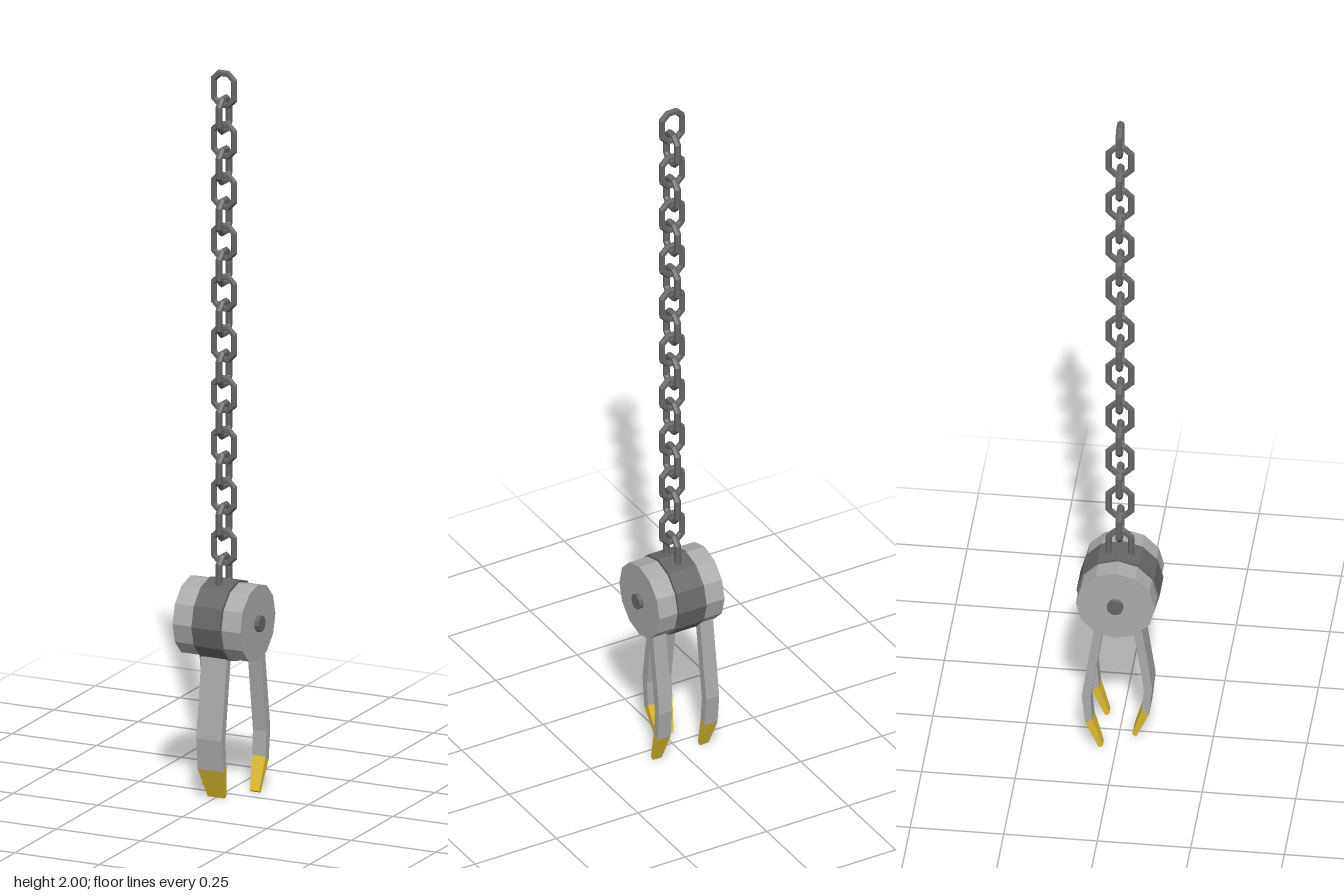
import * as THREE from 'three';

const mat = (color) => new THREE.MeshStandardMaterial({ color, flatShading: true });

export function createModel() {
  const root = new THREE.Group();
  const dark = mat(0x666666), steel = mat(0xaaaaaa), yellow = mat(0xe0c030);
  const add = (name, geometry, material, parent = root) => {
    const mesh = new THREE.Mesh(geometry, material);
    mesh.name = name;
    parent.add(mesh);
    return mesh;
  };

  // Chain: an eight-sided ring pulled apart vertically, every other link turned
  const link = new THREE.TorusGeometry(0.0325, 0.0095, 6, 8);
  link.rotateZ(Math.PI / 8);
  const lp = link.attributes.position;
  for (let i = 0; i < lp.count; i++) {
    lp.setY(i, lp.getY(i) + Math.sign(lp.getY(i)) * 0.0135);
  }
  const chain = new THREE.Group();
  chain.name = 'chain';
  root.add(chain);
  for (let i = 0; i < 20; i++) {
    const mesh = add('chainLink', link, dark, chain);
    mesh.position.y = 1.947 - i * 0.0703;
    mesh.rotation.y = (i % 2) * Math.PI / 2;
  }

  // Hub: centre drum, two side drums and the axle pin
  const drum = (name, radius, x0, x1, sides, material) => {
    const g = new THREE.CylinderGeometry(radius, radius, x1 - x0, sides);
    g.rotateZ(Math.PI / 2);
    add(name, g, material).position.set((x0 + x1) / 2, 0.482, 0);
  };
  drum('centreDrum', 0.111, -0.042, 0.042, 12, dark);
  drum('leftDrum', 0.106, 0.044, 0.1, 12, steel);
  drum('rightDrum', 0.106, -0.1, -0.044, 12, steel);
  drum('axlePin', 0.022, -0.112, 0.112, 10, dark);

  // Bar through rows, top to bottom: [outer z, outer y, inner z, inner y, width scale]
  const bar = (rows, width) => {
    const n = rows.length - 1;
    const g = new THREE.BoxGeometry(width, n, 1, 1, n, 1);
    const p = g.attributes.position;
    for (let i = 0; i < p.count; i++) {
      const [oz, oy, iz, iy, s] = rows[Math.round(n / 2 - p.getY(i))];
      const outer = p.getZ(i) > 0;
      p.setXYZ(i, p.getX(i) * s, outer ? oy : iy, outer ? oz : iz);
    }
    return g;
  };
  const armRows = [
    [0.052, 0.44, 0.028, 0.44, 1],
    [0.091, 0.17, 0.068, 0.165, 1],
    [0.082, 0.084, 0.062, 0.096, 1],
  ];
  const tipRows = [armRows[2], [0.046, 0, 0.036, 0.006, 0.68]];

  // Claws: one wide in front, two narrow behind
  const claw = (name, x, width, turn) => {
    const group = new THREE.Group();
    group.name = name;
    group.position.x = x;
    group.rotation.y = turn;
    add('arm', bar(armRows, width), steel, group);
    add('tip', bar(tipRows, width), yellow, group);
    root.add(group);
  };
  claw('frontClaw', 0, 0.075, 0);
  for (const s of [-1, 1]) {
    claw(s > 0 ? 'backLeftClaw' : 'backRightClaw', s * 0.072, 0.04, Math.PI);
  }
  return root;
}
